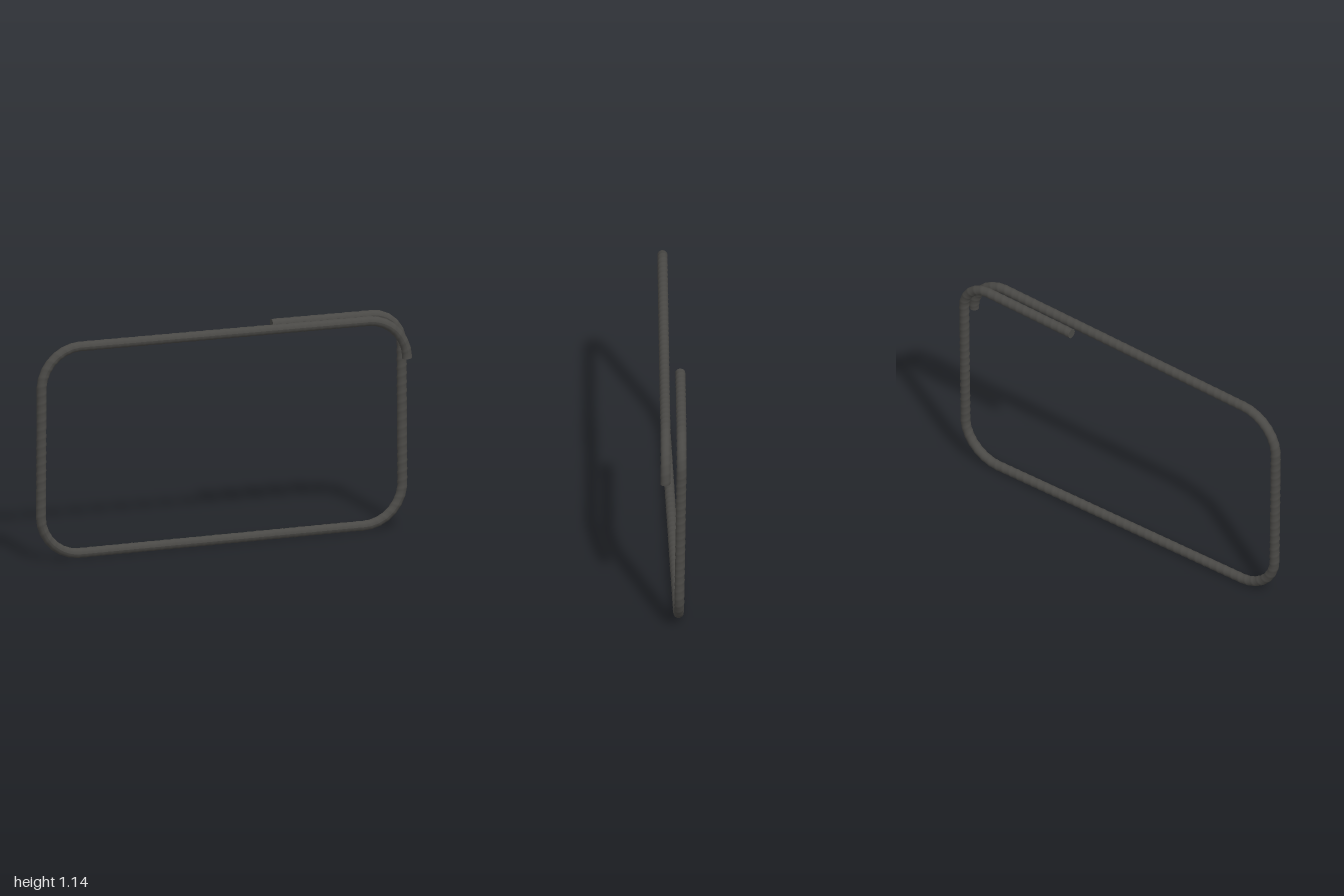
import * as THREE from 'three';

const BAR = 0.0245;       // core radius
const RIB = 0.0015;       // rib height
const PITCH = 0.045;      // rib spacing along the bar
const Z_END = 0.046;      // the bar drifts from +Z_END to -Z_END

// Bent bar centreline: one full rounded rectangle plus overlapping hooks
function barCurve() {
  const PI = Math.PI, r = 0.21, x = 0.764, top = 0.896, bottom = 0.236;
  const path = new THREE.Path();
  path.moveTo(0.974, 0.6);
  path.absarc(x, top, r, 0, PI / 2);
  path.absarc(-x, top, r, PI / 2, PI);
  path.absarc(-x, bottom, r, PI, 1.5 * PI);
  path.absarc(x, bottom, r, 1.5 * PI, 2 * PI);
  path.absarc(0.814, 0.954, 0.16, 0, PI / 2);
  path.lineTo(0.28, 1.114);
  const n = 240;
  const points = path.getSpacedPoints(n).map((p, i) =>
    new THREE.Vector3(p.x, p.y, Z_END * (1 - 2 * i / n)));
  const curve = new THREE.CatmullRomCurve3(points);
  curve.arcLengthDivisions = 2400;
  return curve;
}

export function createModel() {
  const group = new THREE.Group();
  group.name = 'barStirrup';
  const material = new THREE.MeshStandardMaterial({ color: 0x4a4946 });
  const curve = barCurve();
  const turns = Math.round(curve.getLength() / PITCH);

  // Bar, with low slanted ribs raised along a helix
  const segments = 880, sides = 16;
  const geometry = new THREE.TubeGeometry(curve, segments, BAR, sides, false);
  const pos = geometry.attributes.position;
  const v = new THREE.Vector3();
  for (let i = 0; i <= segments; i++) {
    const centre = curve.getPointAt(i / segments);
    for (let j = 0; j <= sides; j++) {
      const k = i * (sides + 1) + j;
      const wave = Math.cos(2 * Math.PI * (turns * i / segments + j / sides));
      const scale = 1 + RIB / BAR * Math.max(0, wave);
      v.fromBufferAttribute(pos, k).sub(centre).multiplyScalar(scale).add(centre);
      pos.setXYZ(k, v.x, v.y, v.z);
    }
  }
  geometry.computeVertexNormals();
  const bar = new THREE.Mesh(geometry, material);
  bar.name = 'bentBar';
  group.add(bar);

  // Flat cut ends
  for (const [name, t, sign] of [['sideHookEnd', 0, -1], ['topHookEnd', 1, 1]]) {
    const cap = new THREE.Mesh(new THREE.CircleGeometry(BAR + RIB / 2, sides), material);
    cap.name = name;
    cap.position.copy(curve.getPointAt(t));
    cap.quaternion.setFromUnitVectors(new THREE.Vector3(0, 0, 1),
      curve.getTangentAt(t).multiplyScalar(sign));
    group.add(cap);
  }
  return group;
}
